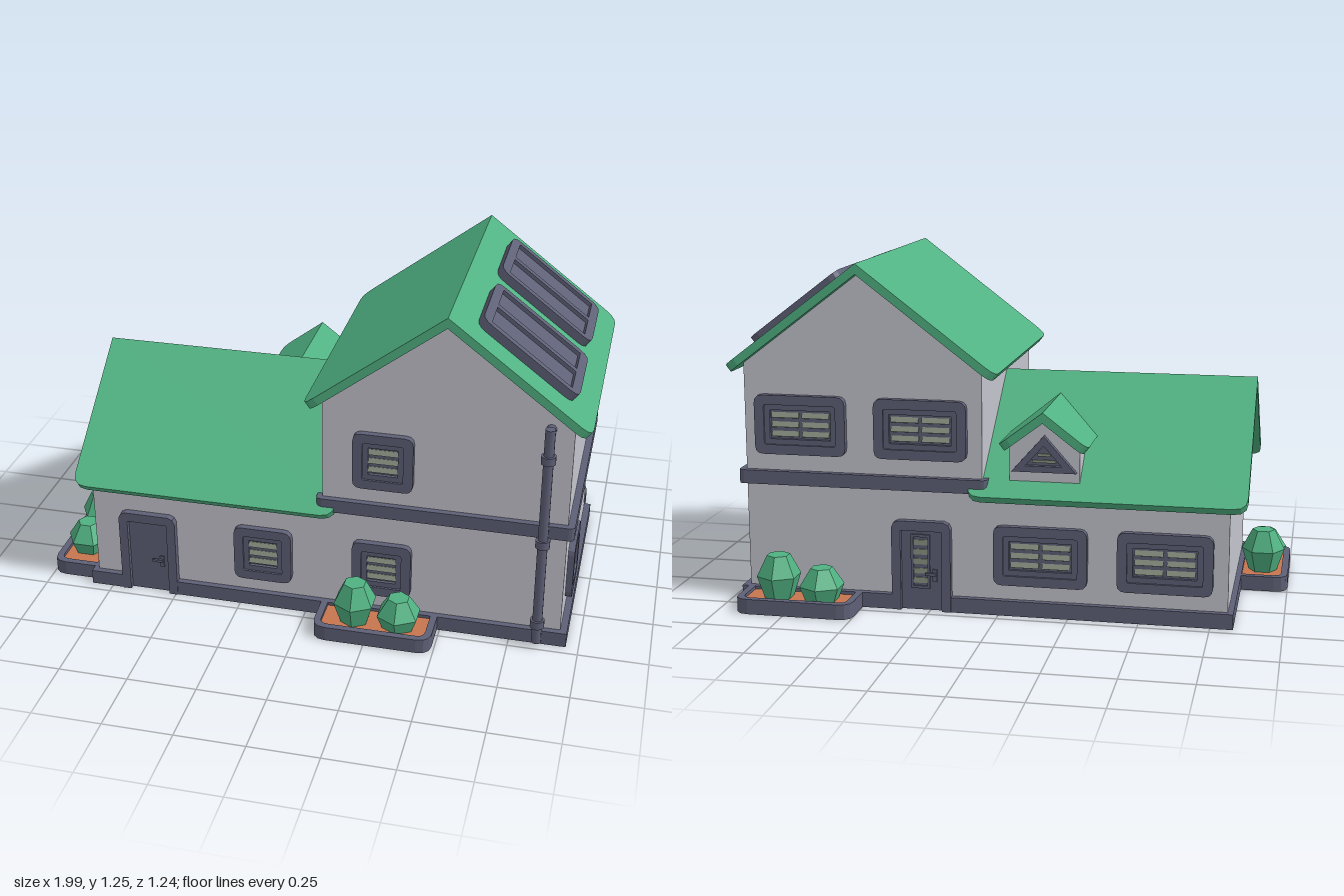
import * as THREE from 'three';

const mat = (name, color) => Object.assign(new THREE.MeshStandardMaterial({ color }), { name });
const wall = mat('wall grey', 0xc4c4ce);
const trim = mat('slate trim', 0x5e6076);
const green = mat('roof and leaf green', 0x50b282);
const soil = mat('soil orange', 0xc6764f);
const slat = mat('slat olive', 0x8c9484);

const SLOPE = Math.atan(0.76);

// ---- helpers ----
function add(parent, name, geo, material, x = 0, y = 0, z = 0) {
  const m = new THREE.Mesh(geo, material);
  m.name = name;
  m.position.set(x, y, z);
  parent.add(m);
  return m;
}
function group(parent, name, x = 0, y = 0, z = 0, ry = 0) {
  const g = new THREE.Group();
  g.name = name;
  g.position.set(x, y, z);
  g.rotation.y = ry;
  parent.add(g);
  return g;
}
const poly = pts => new THREE.Shape(pts.map(p => new THREE.Vector2(p[0], p[1])));
const extrude = (shape, depth) =>
  new THREE.ExtrudeGeometry(shape, { depth, bevelEnabled: false, curveSegments: 3 });
const extrudeUp = (shape, h) => extrude(shape, h).rotateX(-Math.PI / 2);
const box = (w, h, d) => new THREE.BoxGeometry(w, h, d);

function roundRect(w, h, r, cx = 0, cy = 0) {
  const a = w / 2, b = h / 2, s = new THREE.Shape();
  s.moveTo(cx - a + r, cy - b);
  s.lineTo(cx + a - r, cy - b);
  s.quadraticCurveTo(cx + a, cy - b, cx + a, cy - b + r);
  s.lineTo(cx + a, cy + b - r);
  s.quadraticCurveTo(cx + a, cy + b, cx + a - r, cy + b);
  s.lineTo(cx - a + r, cy + b);
  s.quadraticCurveTo(cx - a, cy + b, cx - a, cy + b - r);
  s.lineTo(cx - a, cy - b + r);
  s.quadraticCurveTo(cx - a, cy - b, cx - a + r, cy - b);
  return s;
}
function ring(outer, ...holes) {
  outer.holes.push(...holes);
  return outer;
}

// House body with a gable, extruded along local z
const gable = (half, bottom, apex, depth) => {
  const eave = apex - half * 0.76;
  return extrude(poly([[-half, bottom], [half, bottom], [half, eave], [0, apex], [-half, eave]]), depth)
    .translate(0, 0, -depth / 2);
};

// Two sloping slabs with rounded eave corners; returns the slope groups
function gableRoof(parent, name, half, length, r, ry) {
  const L = half / Math.cos(SLOPE), a = length / 2, t = 0.03;
  const s = new THREE.Shape();
  s.moveTo(-a, 0);
  s.lineTo(-a, -L + r);
  s.quadraticCurveTo(-a, -L, -a + r, -L);
  s.lineTo(a - r, -L);
  s.quadraticCurveTo(a, -L, a, -L + r);
  s.lineTo(a, 0);
  return [0, Math.PI].map(turn => {
    const side = group(parent, name, 0, 0, 0, ry + turn);
    const tilt = group(side, name + 'Slope');
    tilt.rotation.x = SLOPE - Math.PI / 2;
    add(tilt, name + 'Slab', extrude(s, t), green, 0, 0, -t);
    return tilt;
  });
}

// Framed window with louvre slats, facing local +z
function windowUnit(parent, x, y, z, ry, w = 0.215, columns = 1) {
  const h = 0.215, g = group(parent, 'window', x, y, z, ry);
  add(g, 'windowFrame', extrude(ring(roundRect(w, h, 0.03), roundRect(w - 0.07, h - 0.07, 0.008)), 0.024), trim);
  add(g, 'windowSash', extrude(ring(roundRect(w - 0.07, h - 0.07, 0.001), roundRect(w - 0.11, h - 0.11, 0.001)), 0.016), trim);
  add(g, 'windowBacking', box(w - 0.1, h - 0.1, 0.004), trim, 0, 0, 0.002);
  const cw = (w - 0.11) / columns;
  for (let c = 0; c < columns; c++) for (let i = -1; i <= 1; i++) {
    const m = add(g, 'louvreSlat', box(cw - (columns > 1 ? 0.012 : 0), 0.02, 0.005), slat,
      (c - (columns - 1) / 2) * cw, i * 0.034, 0.009);
    m.rotation.x = -0.35;
  }
}

// Door with frame, leaf and handle, facing local +z
function door(parent, x, z, ry, slatted) {
  const g = group(parent, 'door', x, 0, z, ry);
  const o = 0.108, i = 0.075;
  add(g, 'doorFrame', extrude(poly([[-o, 0], [-i, 0], [-i, 0.295], [i, 0.295], [i, 0], [o, 0],
    [o, 0.305], [o - 0.008, 0.322], [o - 0.025, 0.33], [-o + 0.025, 0.33], [-o + 0.008, 0.322], [-o, 0.305]]), 0.026), trim);
  add(g, 'doorLeaf', box(2 * i, 0.295, 0.008), trim, 0, 0.1475, 0.004);
  add(g, 'handlePlate', box(0.016, 0.045, 0.006), trim, 0.048, 0.13, 0.011);
  add(g, 'handleLever', box(0.04, 0.01, 0.008), trim, 0.034, 0.135, 0.018);
  if (!slatted) return;
  add(g, 'doorPaneFrame', extrude(ring(roundRect(0.07, 0.2, 0.001, 0, 0.18), roundRect(0.05, 0.18, 0.001, 0, 0.18)), 0.006), trim, -0.005, 0, 0.008);
  for (let k = 0; k < 5; k++) add(g, 'doorSlat', box(0.05, 0.02, 0.004), slat, -0.005, 0.11 + k * 0.035, 0.01);
}

function bush(parent, x, z, tall, turn) {
  const pts = tall ? [[0, 0.04], [0.052, 0.04], [0.08, 0.125], [0.042, 0.2], [0, 0.2]]
    : [[0, 0.04], [0.06, 0.04], [0.082, 0.095], [0.04, 0.16], [0, 0.16]];
  const geo = new THREE.LatheGeometry(pts.map(p => new THREE.Vector2(...p)), 6).toNonIndexed();
  geo.computeVertexNormals();
  add(parent, 'bush', geo, green, x, 0, z).rotation.y = turn;
}

// Planter box with soil and two bushes, given its footprint
function planter(parent, x0, x1, z0, z1, bushes, turn) {
  const g = group(parent, 'planter', (x0 + x1) / 2, 0, (z0 + z1) / 2);
  const w = x1 - x0, d = z1 - z0;
  add(g, 'planterRim', extrudeUp(ring(roundRect(w, d, 0.05), roundRect(w - 0.05, d - 0.05, 0.03)), 0.055), trim);
  add(g, 'planterFloor', extrudeUp(roundRect(w - 0.05, d - 0.05, 0.03), 0.035), trim);
  add(g, 'soil', extrudeUp(roundRect(w - 0.05, d - 0.05, 0.03), 0.008), soil, 0, 0.035, 0);
  bushes.forEach(([x, z, tall]) => bush(parent, x, z, tall, turn));
}

export function createModel() {
  const house = new THREE.Group();
  house.name = 'house';
  const H = Math.PI / 2;

  // Plinth, notched at both doors
  const e = 0.463, n = 0.445;
  add(house, 'plinth', extrudeUp(poly([[-0.83, -e], [-0.675, -e], [-0.675, -n], [-0.525, -n], [-0.525, -e],
    [0.955, -e], [0.955, e], [0.355, e], [0.355, n], [0.205, n], [0.205, e], [-0.83, e]]), 0.055), trim);

  // Tower and low wing
  add(house, 'towerWalls', gable(0.435, 0.03, 1.222, 0.88), wall, 0.495);
  add(house, 'wingWalls', gable(0.44, 0.03, 0.787, 0.89).rotateY(H), wall, -0.365);
  add(house, 'floorBelt', extrudeUp(roundRect(0.915, 0.926, 0.02), 0.05), trim, 0.4975, 0.44, 0);

  // Roofs
  const slopes = gableRoof(group(house, 'towerRoof', 0.495, 1.245, 0), 'towerRoof', 0.495, 0.98, 0.05, H);
  gableRoof(group(house, 'wingRoof', -0.38, 0.81, 0), 'wingRoof', 0.49, 0.98, 0.05, 0);

  // Solar panels on the right slope
  for (const u of [-0.22, 0.22]) {
    const p = group(slopes[0], 'solarPanel', u, -0.312, 0);
    add(p, 'panelFrame', extrude(ring(roundRect(0.328, 0.42, 0.04),
      roundRect(0.125, 0.35, 0.003, -0.075), roundRect(0.125, 0.35, 0.003, 0.075)), 0.032), trim);
    add(p, 'panelCells', box(0.29, 0.37, 0.018), trim, 0, 0, 0.009);
  }

  // Dormer on the back slope
  const dormer = group(house, 'dormer', -0.16, 0, 0);
  add(dormer, 'dormerWalls', gable(0.125, 0.42, 0.718, 0.32), wall, 0, 0, -0.265);
  gableRoof(group(dormer, 'dormerRoof', 0, 0.742, -0.28), 'dormerRoof', 0.16, 0.38, 0.04, H);
  const tri = (w, b, t) => poly([[-w, b], [w, b], [0, t]]);
  const vent = group(dormer, 'dormerWindow', 0, 0, -0.425, Math.PI);
  add(vent, 'dormerWindowFrame', extrude(ring(tri(0.115, 0.525, 0.655), tri(0.065, 0.547, 0.62)), 0.022), trim);
  add(vent, 'dormerWindowBacking', extrude(tri(0.09, 0.535, 0.635), 0.004), trim);
  add(vent, 'dormerSlat', box(0.085, 0.01, 0.004), slat, 0, 0.562, 0.008);
  add(vent, 'dormerSlat', box(0.045, 0.01, 0.004), slat, 0, 0.585, 0.008);

  // Windows: front, right side, then the wide ones at the back
  for (const [x, y] of [[-0.16, 0.22], [0.28, 0.22], [0.28, 0.66]]) windowUnit(house, x, y, 0.44, 0);
  windowUnit(house, 0.93, 0.222, 0.222, H);
  for (const [x, y] of [[0.72, 0.66], [0.28, 0.66], [-0.15, 0.22], [-0.59, 0.22]])
    windowUnit(house, x, y, -0.44, Math.PI, 0.335, 2);

  // Doors
  door(house, -0.6, 0.44, 0, false);
  door(house, 0.28, -0.44, Math.PI, true);

  // Planters: front, back, left
  planter(house, 0.06, 0.49, 0.4, 0.62, [[0.2, 0.527, true], [0.36, 0.527, false]], 0);
  planter(house, 0.5, 0.93, -0.62, -0.4, [[0.79, -0.527, true], [0.63, -0.527, false]], 0);
  planter(house, -1, -0.78, 0, 0.43, [[-0.903, 0.14, true], [-0.903, 0.29, false]], H);

  // Downpipe with brackets
  const pipe = group(house, 'downpipe', 0.85, 0, 0.48);
  const tube = (r, h) => new THREE.CylinderGeometry(r, r, h, 10);
  add(pipe, 'pipe', tube(0.018, 0.855), trim, 0, 0.4475, 0);
  add(pipe, 'pipeElbow', tube(0.018, 0.05).rotateX(H), trim, 0, 0.855, -0.022);
  for (const y of [0.1, 0.43, 0.76]) {
    add(pipe, 'pipeCollar', tube(0.026, 0.03), trim, 0, y, 0);
    add(pipe, 'pipeBracket', box(0.016, 0.016, 0.045), trim, 0, y, -0.022);
  }
  return house;
}
